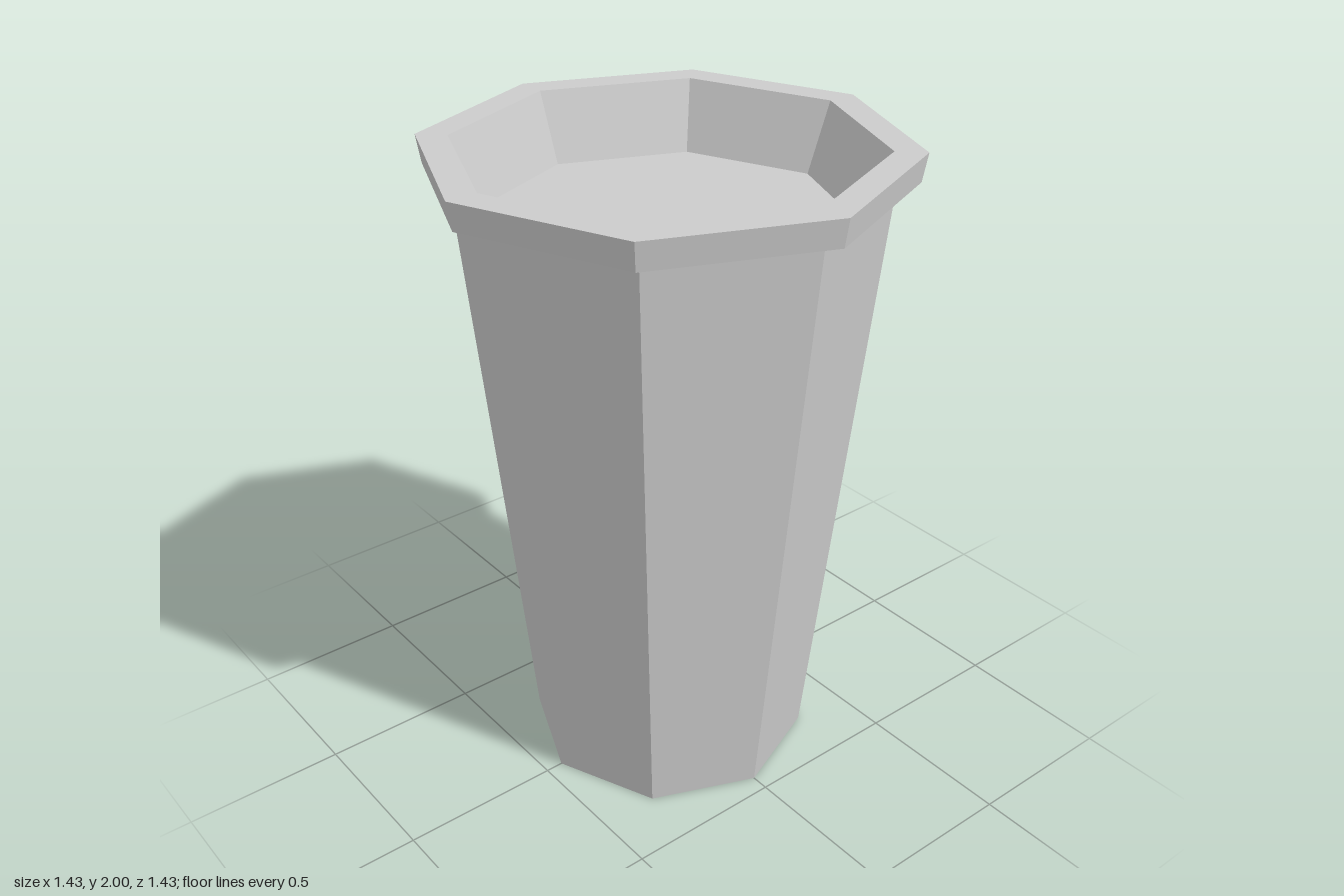
import * as THREE from 'three';

const SIDES = 8;

// Eight-sided solid of revolution from [radius, height] points, outside running upwards
function turned(name, profile, material) {
  const points = profile.map(([r, y]) => new THREE.Vector2(r, y));
  const mesh = new THREE.Mesh(new THREE.LatheGeometry(points, SIDES), material);
  mesh.name = name;
  return mesh;
}

export function createModel() {
  const material = new THREE.MeshStandardMaterial({ color: 0xcccccc, flatShading: true });
  const pot = new THREE.Group();
  pot.name = 'planter';

  // Tapered body with a closed base
  pot.add(turned('body', [[0, 0], [0.445, 0], [0.635, 1.915]], material));

  // Overhanging rim with its sloping inner wall
  pot.add(turned('rim', [[0.635, 1.915], [0.7, 1.915], [0.714, 2], [0.62, 2], [0.54, 1.79]], material));

  // Shallow floor inside the rim
  pot.add(turned('innerFloor', [[0.54, 1.79], [0, 1.79]], material));

  return pot;
}
